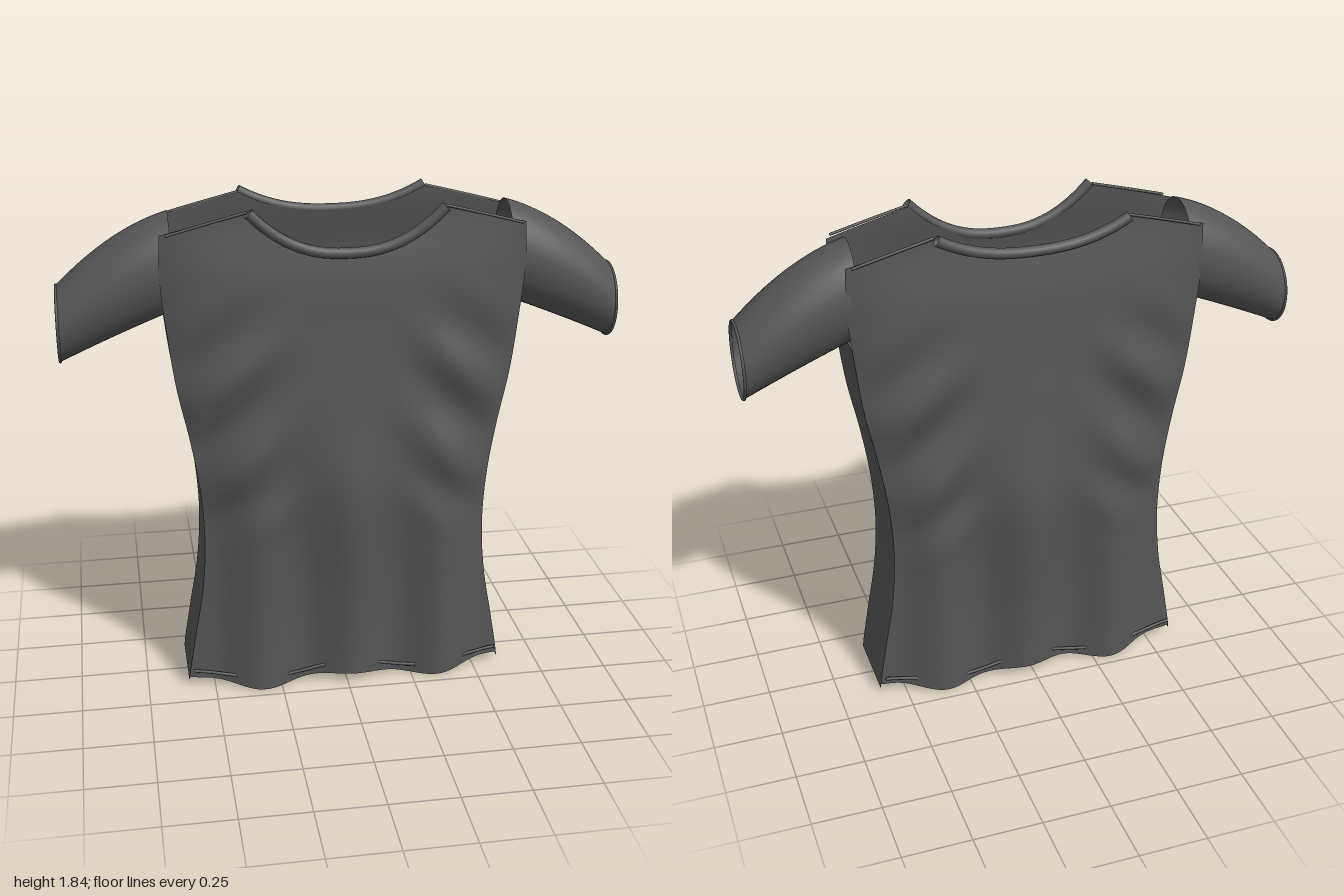
import * as THREE from 'three';

const cloth = new THREE.MeshStandardMaterial({ color: 0x555555, roughness: 0.9, side: THREE.DoubleSide });

// Smooth profile over height, one value every 0.2 units from y = 0 to y = 1.8
const profile = (values) => {
  const curve = new THREE.SplineCurve(values.map((v, i) => new THREE.Vector2(v, i)));
  return (y) => curve.getPoint(THREE.MathUtils.clamp(y / 1.8, 0, 1)).x;
};
const halfWidth = profile([0.6, 0.57, 0.535, 0.52, 0.53, 0.56, 0.6, 0.625, 0.643, 0.637]);
const depth = profile([0.19, 0.19, 0.195, 0.205, 0.215, 0.21, 0.205, 0.195, 0.185, 0.155]);
const hemY = (x) => 0.022 + 0.02 * Math.cos((x * Math.PI) / 0.3);

const NECK = 15 / 28; // neck corner as a share of the shoulder width
const neckY = (t, dip) => dip + (1.825 - dip) * Math.pow(Math.abs(t), 2.4);

// Distance of the cloth from the middle plane, with folds
function clothZ(u, x, y) {
  const s = THREE.MathUtils.smoothstep;
  const edge = 1 - Math.pow(Math.abs(u), 6);
  const hang = 0.026 * Math.cos((2 * Math.PI * (x - 0.02)) / 0.35) * (1 - s(y, 0.45, 1.15));
  const diagonal = -0.026 * Math.cos((2 * Math.PI * (y + 0.9 * Math.abs(x) - 1.43)) / 0.36)
    * s(Math.abs(x), 0.12, 0.42) * s(y, 0.55, 0.85) * (1 - s(y, 1.2, 1.6));
  const belly = 0.022 * Math.exp(-Math.pow((y - 0.8) / 0.35, 2) - Math.pow(x / 0.2, 2));
  return 0.14 + (depth(y) - 0.14) * (1 - Math.pow(u, 4)) + (hang + diagonal + belly) * edge;
}

// Grid surface from a rule (a, b in 0..1)
function sheet(name, cols, rows, rule) {
  const geo = new THREE.PlaneGeometry(1, 1, cols, rows);
  const pos = geo.attributes.position;
  const uv = geo.attributes.uv;
  for (let i = 0; i < pos.count; i++) pos.setXYZ(i, ...rule(uv.getX(i), uv.getY(i)));
  geo.computeVertexNormals();
  const mesh = new THREE.Mesh(geo, cloth);
  mesh.name = name;
  return mesh;
}

// Round piping along a list of points
function piping(name, points, radius, closed = false) {
  const curve = new THREE.CatmullRomCurve3(points.map((p) => new THREE.Vector3(...p)), closed);
  const mesh = new THREE.Mesh(new THREE.TubeGeometry(curve, points.length * 3, radius, 10, closed), cloth);
  mesh.name = name;
  return mesh;
}

const steps = (n, fn) => Array.from({ length: n + 1 }, (_, i) => fn(i / n));

// Front or back of the body with its collar, shoulder seams and hem seam
function bodyHalf(name, side, dip, collarZ, seamZ) {
  const half = new THREE.Group();
  half.name = name;
  half.add(sheet(name + 'Panel', 56, 80, (a, b) => {
    const u = side * (a * 2 - 1);
    const m = Math.abs(u);
    const top = m < NECK ? neckY(m / NECK, dip)
      : THREE.MathUtils.lerp(1.825, 1.75, (m - NECK) / (1 - NECK));
    const low = hemY(u * 0.6);
    const y = low + (top - low) * b;
    const x = u * halfWidth(y);
    return [x, y, side * clothZ(u, x, y)];
  }));

  half.add(piping(name + 'Collar', steps(20, (t) => {
    const k = t * 2 - 1;
    return [k * 0.34, neckY(k, dip), side * collarZ];
  }), 0.019));

  for (const s of [-1, 1]) {
    half.add(piping(name + 'ShoulderSeam', [[s * 0.34, 1.825, side * seamZ], [s * 0.48, 1.79, side * seamZ],
      [s * 0.62, 1.753, side * seamZ]], 0.005));
  }
  half.add(piping(name + 'HemSeam', steps(30, (t) => {
    const x = (t * 2 - 1) * 0.58;
    return [x, hemY(x) + 0.035, side * (0.178 - 0.02 * Math.pow(x / 0.58, 4))];
  }), 0.006));
  return half;
}

// Sleeve section at s (0 = shoulder, 1 = cuff) and angle
function sleevePoint(dir, s, angle) {
  const bulge = 4 * s * (1 - s);
  const top = THREE.MathUtils.lerp(1.8, 1.55, s) + 0.035 * bulge;
  const bottom = THREE.MathUtils.lerp(1.445, 1.28, s) + 0.004 * bulge;
  const r = THREE.MathUtils.lerp(0.14, 0.13, s) + 0.008 * bulge;
  return [dir * (0.6 + 0.395 * s),
    (top + bottom) / 2 + ((top - bottom) / 2) * Math.cos(angle), -0.005 + r * Math.sin(angle)];
}

export function createModel() {
  const shirt = new THREE.Group();
  shirt.name = 'shirt';
  shirt.add(bodyHalf('front', 1, 1.675, 0.187, 0.168));
  shirt.add(bodyHalf('back', -1, 1.745, 0.182, 0.157));

  for (const dir of [1, -1]) {
    const label = dir > 0 ? 'left' : 'right';

    // Flat strip joining front and back below the sleeve
    shirt.add(sheet(label + 'SidePanel', 4, 40, (a, b) => {
      const y = 0.025 + 1.43 * b;
      return [dir * halfWidth(y), y, dir * (1 - a * 2) * 0.14];
    }));

    // Open sleeve with a thin cuff edge
    const sleeve = new THREE.Group();
    sleeve.name = label + 'Sleeve';
    sleeve.add(sheet(label + 'SleeveTube', 40, 16, (a, b) => sleevePoint(dir, b, dir * a * 2 * Math.PI)));
    sleeve.add(piping(label + 'Cuff', steps(23, (t) => sleevePoint(dir, 1, (t * 23 / 24) * 2 * Math.PI)), 0.005, true));
    shirt.add(sleeve);
  }
  return shirt;
}
